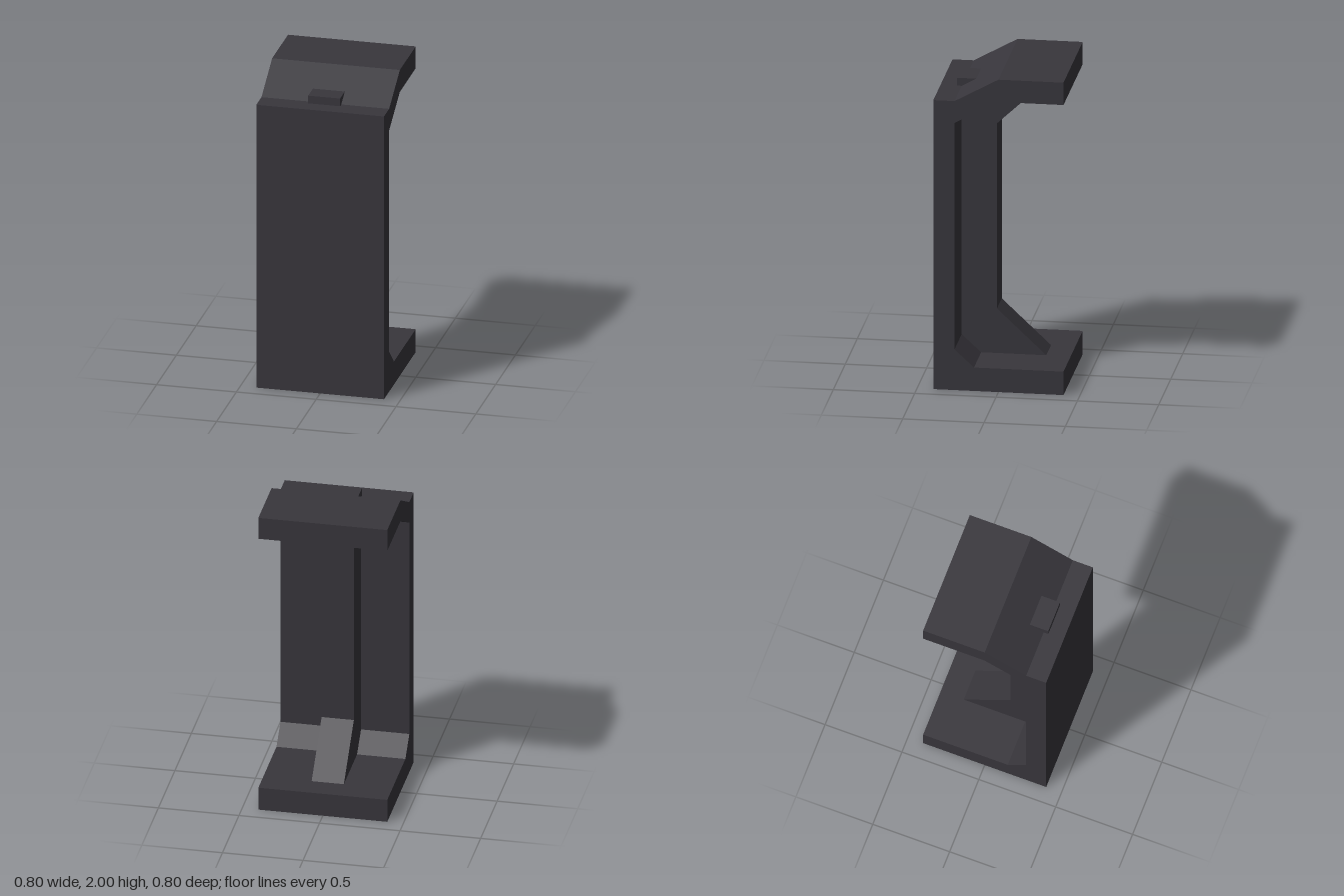
import * as THREE from 'three';

// Extrudes a side profile of [z, y] points across a width centred on x = 0
function extrudeProfile(points, width) {
  const shape = new THREE.Shape(points.map(([z, y]) => new THREE.Vector2(z, y)));
  const geometry = new THREE.ExtrudeGeometry(shape, { depth: width, bevelEnabled: false });
  geometry.translate(0, 0, -width / 2);
  geometry.rotateY(-Math.PI / 2);
  return geometry;
}

export function createModel() {
  const group = new THREE.Group();
  group.name = 'bracket';
  const charcoal = new THREE.MeshStandardMaterial({ color: 0x38363c });
  charcoal.name = 'charcoal';

  const add = (name, geometry) => {
    const mesh = new THREE.Mesh(geometry, charcoal);
    mesh.name = name;
    group.add(mesh);
    return mesh;
  };

  // C-shaped shell: front wall, base plate and raised top plate
  add('shell', extrudeProfile([
    [-0.4, 0], [0.4, 0], [0.4, 1.85], [0.27, 1.85], [0, 2], [-0.4, 2],
    [-0.4, 1.857], [0, 1.857], [0.27, 1.71], [0.27, 0.26], [0.15, 0.15], [-0.4, 0.15],
  ], 0.8));

  // Central rib on the inside, flaring into both plates
  add('rib', extrudeProfile([
    [-0.25, 0.15], [0.15, 0.15], [0.27, 0.26], [0.27, 1.71], [0, 1.857],
    [-0.2, 1.857], [0.053, 1.62], [0.053, 0.435],
  ], 0.2));

  // Small tab on the front ledge
  add('tab', new THREE.BoxGeometry(0.2, 0.05, 0.12)).position.set(0, 1.875, 0.24);

  return group;
}
